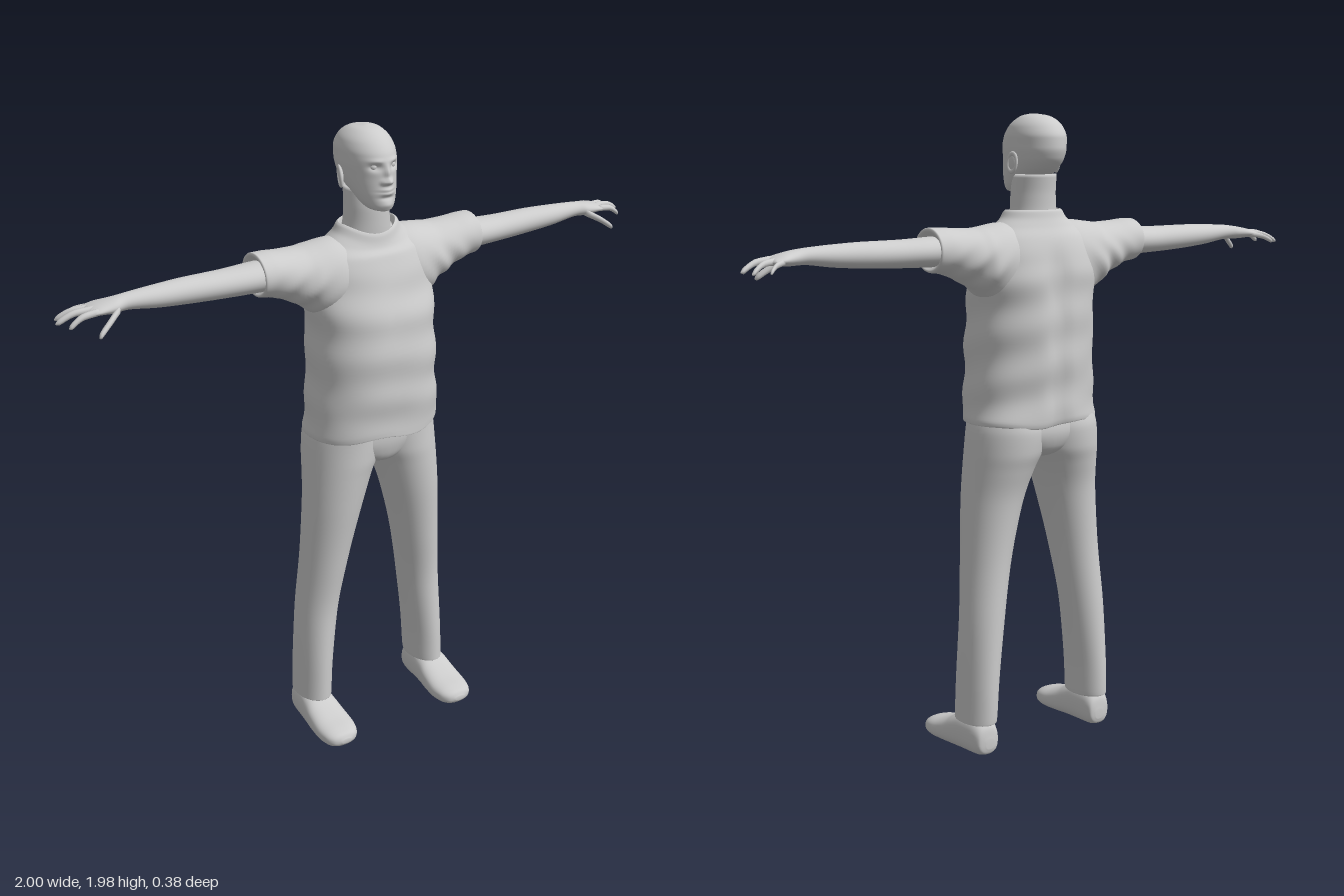
import * as THREE from 'three';

const grey = new THREE.MeshStandardMaterial({ color: 0xcccccc });
grey.name = 'light grey';

// Smooth, non-overshooting interpolation of section numbers
function blend(rows, i, f, k) {
  const v = (n) => rows[n][k] ?? 2;
  const slope = (n) => {
    if (n === 0) return v(1) - v(0);
    if (n === rows.length - 1) return v(n) - v(n - 1);
    const a = v(n) - v(n - 1), b = v(n + 1) - v(n);
    return a * b > 0 ? (2 * a * b) / (a + b) : 0;
  };
  const f2 = f * f, f3 = f2 * f;
  return v(i) * (2 * f3 - 3 * f2 + 1) + slope(i) * (f3 - 2 * f2 + f)
    + v(i + 1) * (3 * f2 - 2 * f3) + slope(i + 1) * (f3 - f2);
}

// Skin over rounded sections [t, a0, a1, b0, b1, roundness] placed along an axis
function loft(name, axis, rows, { n = 40, steps = 6, mirror = false, deform } = {}) {
  const pos = [], idx = [], p = new THREE.Vector3();
  const add = (t, a, b) => {
    if (axis === 'y') p.set(a, t, b);
    else if (axis === 'x') p.set(t, a, b);
    else p.set(a, b, t);
    if (deform) deform(p);
    pos.push(mirror ? -p.x : p.x, p.y, p.z);
  };
  const flip = (axis === 'y') !== mirror;
  const tri = (a, b, c) => (flip ? idx.push(a, c, b) : idx.push(a, b, c));
  const pow = (c, e) => Math.sign(c) * Math.abs(c) ** (2 / e);
  const rings = (rows.length - 1) * steps + 1;
  for (let r = 0; r < rings; r++) {
    const i = Math.min(Math.floor(r / steps), rows.length - 2);
    const [t, a0, a1, b0, b1, e] = [0, 1, 2, 3, 4, 5].map((k) => blend(rows, i, r / steps - i, k));
    for (let j = 0; j < n; j++) {
      const q = (j / n) * Math.PI * 2;
      add(t, (a0 + a1) / 2 + pow(Math.cos(q), e) * (a1 - a0) / 2,
        (b0 + b1) / 2 + pow(Math.sin(q), e) * (b1 - b0) / 2);
    }
  }
  for (let r = 0; r < rings - 1; r++) for (let j = 0; j < n; j++) {
    const a = r * n + j, b = r * n + (j + 1) % n;
    tri(a, b, a + n); tri(b, b + n, a + n);
  }
  // End caps
  const ends = [rows[0], rows[rows.length - 1]];
  ends.forEach(([t, a0, a1, b0, b1], k) => {
    const c = pos.length / 3, o = k ? (rings - 1) * n : 0;
    add(t, (a0 + a1) / 2, (b0 + b1) / 2);
    for (let j = 0; j < n; j++) {
      const a = o + j, b = o + (j + 1) % n;
      if (k) tri(a, b, c); else tri(b, a, c);
    }
  });
  const g = new THREE.BufferGeometry();
  g.setAttribute('position', new THREE.Float32BufferAttribute(pos, 3));
  g.setIndex(idx);
  g.computeVertexNormals();
  const mesh = new THREE.Mesh(g, grey);
  mesh.name = name;
  return mesh;
}

// Left-right symmetric section: height, half width, back, front
const sym = ([y, w, zb, zf, e = 2]) => [y, -w, w, zb, zf, e];
const bump = (x, s) => Math.exp(-((x / s) ** 2));

// Facial relief: [x, y, depth, width, height]
const FACE = [
  [0, 1.836, 0.021, 0.012, 0.009], [0, 1.86, 0.011, 0.009, 0.02],
  [0.014, 1.833, 0.008, 0.007, 0.007], [-0.014, 1.833, 0.008, 0.007, 0.007],
  [0.031, 1.877, -0.012, 0.016, 0.01], [-0.031, 1.877, -0.012, 0.016, 0.01],
  [0.03, 1.895, 0.004, 0.02, 0.006], [-0.03, 1.895, 0.004, 0.02, 0.006],
  [0, 1.805, 0.010, 0.02, 0.011], [0, 1.805, -0.007, 0.024, 0.0025],
  [0, 1.786, -0.005, 0.022, 0.006], [0, 1.765, 0.004, 0.02, 0.01],
];
function faceRelief(p) {
  if (p.z < -0.01) return;
  const { x, y } = p;
  for (const [fx, fy, d, w, h] of FACE) p.z += d * bump(x - fx, w) * bump(y - fy, h);
}

// Soft cloth folds, spine hollow and dipped neckline
function shirtFolds(p) {
  const { x, y, z } = p;
  const side = z < -0.02 ? -1 : 1;
  const lower = THREE.MathUtils.smoothstep(1.62 - y, 0, 0.15);
  p.z += lower * 0.005 * Math.sin(16 * x + 19 * y) * Math.sin(27 * y - 9 * x);
  p.x += lower * 0.004 * Math.sin(40 * y + 8 * z) * Math.sign(x);
  if (side < 0) p.z += 0.014 * bump(x, 0.035) * lower;
  p.y += 0.006 * Math.sin(22 * x + 3 * side) * bump(y - 1.04, 0.05);
  const collar = THREE.MathUtils.smoothstep(y, 1.6, 1.69);
  p.y -= 0.032 * collar * Math.max(0, (z + 0.03) / 0.07) ** 2;
}
function sleeveFolds(p) {
  const k = bump(p.x - 0.25, 0.09) * THREE.MathUtils.smoothstep(1.62 - p.y, 0, 0.1);
  p.z += 0.006 * k * Math.sin(70 * (p.x + p.y * 0.8));
}

// Tapered digit through three points
function digit(name, a, m, b, r, mirror) {
  const at = ([x, y, z], s) => [x, y - r * s, y + r * s, z - r * s, z + r * s];
  const mix = (u, v, f) => u.map((c, i) => c + (v[i] - c) * f);
  return loft(name, 'x', [at(a, 1.1), at(m, 1), at(mix(m, b, 0.85), 0.8), at(b, 0.15)],
    { n: 12, steps: 4, mirror });
}

export function createModel() {
  const model = new THREE.Group();
  model.name = 'standingMan';

  // Head and neck
  const head = loft('head', 'y', [
    [1.742, 0.012, 0.03, 0.062], [1.748, 0.034, -0.01, 0.073], [1.765, 0.05, -0.05, 0.077],
    [1.79, 0.062, -0.09, 0.077], [1.82, 0.072, -0.135, 0.075], [1.85, 0.078, -0.16, 0.073],
    [1.88, 0.081, -0.169, 0.073], [1.91, 0.081, -0.168, 0.065], [1.94, 0.073, -0.152, 0.044],
    [1.96, 0.058, -0.13, 0.02], [1.974, 0.036, -0.095, -0.008], [1.98, 0.006, -0.05, -0.035],
  ].map(sym), { n: 112, steps: 9, deform: faceRelief });
  const neck = loft('neck', 'y', [
    [1.6, 0.09, -0.125, 0.02], [1.66, 0.078, -0.116, 0.027], [1.7, 0.071, -0.112, 0.029],
    [1.74, 0.068, -0.113, 0.03], [1.8, 0.065, -0.12, 0.02],
  ].map(sym));
  model.add(head, neck);

  // Shirt body with folded hem and collar
  model.add(loft('shirtBody', 'y', [
    [1.07, 0.2, -0.155, 0.11, 2.3], [1.045, 0.214, -0.17, 0.125, 2.3], [1.04, 0.224, -0.18, 0.135, 2.3],
    [1.055, 0.227, -0.183, 0.137, 2.3], [1.12, 0.213, -0.178, 0.14, 2.3], [1.2, 0.209, -0.184, 0.144, 2.3],
    [1.3, 0.203, -0.186, 0.144, 2.3], [1.4, 0.203, -0.185, 0.133, 2.3], [1.48, 0.205, -0.182, 0.11, 2.3],
    [1.55, 0.2, -0.172, 0.088, 2.3], [1.61, 0.178, -0.152, 0.066, 2.2], [1.645, 0.14, -0.133, 0.05],
    [1.67, 0.11, -0.122, 0.043], [1.69, 0.097, -0.116, 0.038], [1.694, 0.09, -0.112, 0.034],
    [1.67, 0.08, -0.11, 0.028],
  ].map(sym), { n: 80, steps: 6, deform: shirtFolds }));

  // Hips joining the trouser legs
  model.add(loft('trouserHips', 'y', [
    [0.925, 0.03, -0.07, 0.045], [0.94, 0.085, -0.12, 0.076], [0.97, 0.16, -0.152, 0.092],
    [1.02, 0.212, -0.165, 0.1], [1.1, 0.2, -0.15, 0.1],
  ].map(sym)));

  for (const mirror of [false, true]) {
    const side = mirror ? 'right' : 'left', s = mirror ? -1 : 1;
    const opt = { mirror };

    // Sleeve with turned cuff
    model.add(loft(side + 'Sleeve', 'x', [
      [0.05, 1.42, 1.655, -0.13, 0.045], [0.13, 1.41, 1.658, -0.15, 0.064], [0.2, 1.435, 1.65, -0.15, 0.055],
      [0.24, 1.465, 1.646, -0.14, 0.045], [0.3, 1.497, 1.648, -0.128, 0.037],
      [0.35, 1.515, 1.652, -0.122, 0.032], [0.382, 1.52, 1.652, -0.12, 0.03],
      [0.386, 1.526, 1.645, -0.115, 0.025], [0.37, 1.54, 1.625, -0.1, 0.015],
    ], { n: 48, mirror, deform: sleeveFolds }));

    // Bare arm running into the palm
    model.add(loft(side + 'ArmAndPalm', 'x', [
      [0.3, 1.535, 1.63, -0.105, 0.02], [0.4, 1.537, 1.625, -0.104, 0.017], [0.5, 1.54, 1.622, -0.095, 0.008],
      [0.6, 1.545, 1.622, -0.09, 0.002], [0.7, 1.553, 1.619, -0.081, -0.003],
      [0.8, 1.566, 1.613, -0.07, -0.012], [0.84, 1.565, 1.608, -0.079, -0.003],
      [0.88, 1.568, 1.6, -0.094, -0.002], [0.905, 1.57, 1.592, -0.095, -0.008], [0.914, 1.576, 1.586, -0.08, -0.02],
    ], opt));

    // Thumb and fingers
    const digits = [
      ['Thumb', [0.83, 1.58, -0.012], [0.873, 1.556, 0.016], [0.912, 1.528, 0.033], 0.0105],
      ['IndexFinger', [0.89, 1.584, -0.016], [0.935, 1.578, -0.017], [0.977, 1.552, -0.018], 0.0095],
      ['MiddleFinger', [0.89, 1.586, -0.04], [0.945, 1.582, -0.048], [1.0, 1.557, -0.058], 0.0095],
      ['RingFinger', [0.89, 1.584, -0.063], [0.94, 1.579, -0.08], [0.987, 1.554, -0.1], 0.009],
      ['LittleFinger', [0.88, 1.581, -0.083], [0.915, 1.574, -0.104], [0.945, 1.556, -0.127], 0.008],
    ];
    for (const [n, a, m, b, r] of digits) model.add(digit(side + n, a, m, b, r, mirror));

    // Trouser leg
    model.add(loft(side + 'TrouserLeg', 'y', [
      [0.115, 0.18, 0.265, -0.105, 0.03], [0.098, 0.17, 0.275, -0.116, 0.041], [0.1, 0.166, 0.279, -0.122, 0.046],
      [0.2, 0.16, 0.275, -0.126, 0.046], [0.4, 0.135, 0.266, -0.122, 0.042], [0.6, 0.1, 0.25, -0.117, 0.062],
      [0.8, 0.05, 0.237, -0.128, 0.087], [0.9, 0.016, 0.23, -0.15, 0.096], [0.96, -0.01, 0.226, -0.166, 0.1],
      [1.02, -0.02, 0.22, -0.17, 0.1], [1.09, 0, 0.2, -0.15, 0.1],
    ], opt));

    // Shoe with flat sole
    model.add(loft(side + 'Shoe', 'z', [
      [-0.116, 0.205, 0.235, 0.02, 0.05, 2.5], [-0.11, 0.188, 0.258, 0.004, 0.085, 2.5],
      [-0.08, 0.178, 0.272, -0.006, 0.115, 2.5], [-0.03, 0.172, 0.28, -0.006, 0.12, 2.5],
      [0.02, 0.168, 0.286, -0.006, 0.106, 2.5], [0.06, 0.163, 0.29, -0.006, 0.085, 2.5],
      [0.11, 0.16, 0.292, -0.006, 0.066, 2.5], [0.155, 0.168, 0.285, -0.004, 0.055, 2.5],
      [0.18, 0.186, 0.268, 0.004, 0.045, 2.4], [0.19, 0.21, 0.242, 0.015, 0.03, 2.2],
    ], { mirror, deform: (p) => { p.y = Math.max(0, p.y); } }));

    // Eye
    const eye = new THREE.Mesh(new THREE.SphereGeometry(0.012, 20, 14), grey);
    eye.name = side + 'Eye';
    eye.position.set(s * 0.031, 1.877, 0.045);
    model.add(eye);

    // Ear: shell with raised rim
    const ear = new THREE.Group();
    ear.name = side + 'Ear';
    const shell = new THREE.Mesh(new THREE.SphereGeometry(1, 20, 14), grey);
    shell.name = side + 'EarShell';
    shell.scale.set(0.007, 0.03, 0.017);
    const rim = new THREE.Mesh(new THREE.TorusGeometry(0.016, 0.0045, 10, 28), grey);
    rim.name = side + 'EarRim';
    rim.rotation.y = Math.PI / 2;
    rim.scale.set(1, 1.7, 1);
    rim.position.x = s * 0.003;
    ear.add(shell, rim);
    ear.position.set(s * 0.083, 1.835, -0.05);
    ear.rotation.set(-0.2, s * 0.3, 0);
    model.add(ear);
  }
  return model;
}
